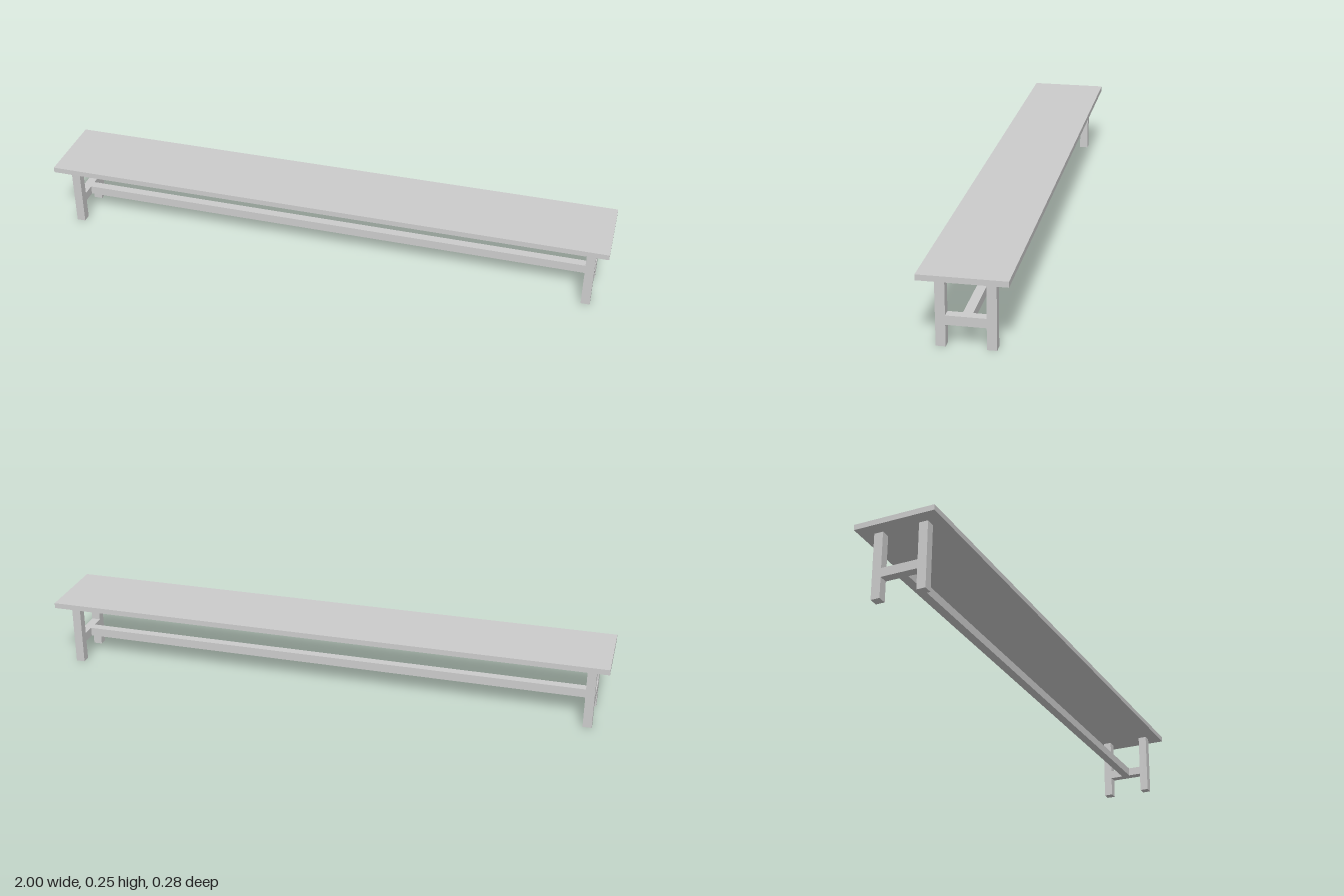
import * as THREE from 'three';

export function createModel() {
  const bench = new THREE.Group();
  bench.name = 'bench';
  const wood = new THREE.MeshStandardMaterial({ color: 0xcccccc, flatShading: true });

  const T = 0.031;                     // timber thickness
  const SEAT_BOTTOM = 0.231, TOP = 0.25;
  const LEG_X = 0.94, LEG_Z = 0.0785;  // leg centres
  const RAIL_Y = 0.0875;

  function beam(name, w, h, d, x, y, z) {
    const mesh = new THREE.Mesh(new THREE.BoxGeometry(w, h, d), wood);
    mesh.name = name;
    mesh.position.set(x, y, z);
    bench.add(mesh);
  }

  // Seat plank
  beam('seat', 2, TOP - SEAT_BOTTOM, 0.28, 0, (TOP + SEAT_BOTTOM) / 2, 0);

  // H-shaped end frames: two legs joined by a cross rail
  for (const sx of [1, -1]) {
    const side = sx > 0 ? 'left' : 'right';
    for (const sz of [1, -1]) {
      beam(`${side}${sz > 0 ? 'Front' : 'Back'}Leg`, T, SEAT_BOTTOM, T,
        sx * LEG_X, SEAT_BOTTOM / 2, sz * LEG_Z);
    }
    beam(`${side}CrossRail`, T, T, 2 * LEG_Z - T, sx * LEG_X, RAIL_Y, 0);
  }

  // Long stretcher between the cross rails
  beam('stretcher', 2 * LEG_X - T, T, T, 0, RAIL_Y, 0);

  return bench;
}
